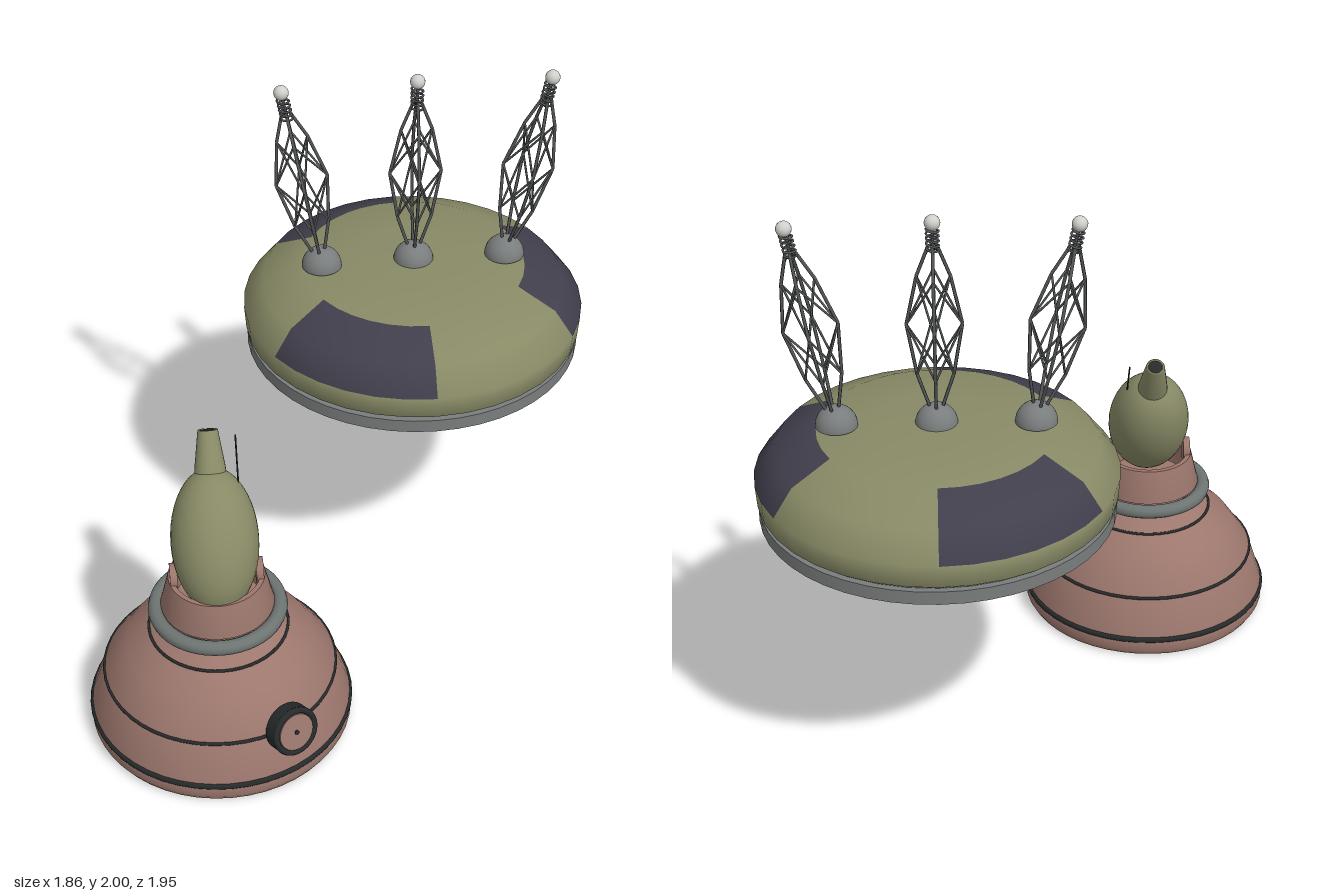
import * as THREE from 'three';
import { mergeGeometries } from 'three/addons/utils/BufferGeometryUtils.js';

const mat = (name, color, side = THREE.FrontSide) => {
  const m = new THREE.MeshStandardMaterial({ color, side });
  m.name = name;
  return m;
};
const V = (x, y, z) => new THREE.Vector3(x, y, z);

export function createModel() {
  const clay = mat('clay', 0x9c776d, THREE.DoubleSide);
  const olive = mat('olive', 0x888a66);
  const navy = mat('navy', 0x413f4c);
  const grey = mat('grey', 0x7a7d7d);
  const steel = mat('steel', 0x6d7573);
  const wire = mat('wire', 0x555859);
  const pearl = mat('pearl', 0xd0d0cc);
  const black = mat('black', 0x262a2a);

  const add = (parent, name, geo, material, x = 0, y = 0, z = 0) => {
    const m = new THREE.Mesh(geo, material);
    m.name = name;
    m.position.set(x, y, z);
    parent.add(m);
    return m;
  };
  const group = (parent, name, x, y, z) => {
    const g = new THREE.Group();
    g.name = name;
    g.position.set(x, y, z);
    parent.add(g);
    return g;
  };
  const lathe = (pts, seg = 48) =>
    new THREE.LatheGeometry(pts.map(p => new THREE.Vector2(p[0], p[1])), seg);
  const ring = (parent, name, r, tube, y, material) => {
    const m = add(parent, name, new THREE.TorusGeometry(r, tube, 10, 48), material, 0, y, 0);
    m.rotation.x = Math.PI / 2;
    return m;
  };
  const rod = (a, b, r) => new THREE.TubeGeometry(new THREE.LineCurve3(a, b), 1, r, 5);

  const model = new THREE.Group();
  model.name = 'model';

  // ---- Floating disc ----
  const disc = group(model, 'disc', 0.317, 0, -0.367);
  add(disc, 'discBase', new THREE.CylinderGeometry(0.598, 0.598, 0.047, 48), grey, 0, 0.9665, 0);
  const profile = [[0.57, 0.985], [0.602, 1.01], [0.608, 1.09], [0.538, 1.18],
    [0.397, 1.245], [0.2, 1.26], [0, 1.265]];
  const shell = lathe(profile, 36);
  // three 60 degree sectors of the two sloping bands are navy
  const bands = profile.length - 1;
  for (let i = 0; i < 36; i++) {
    for (let j = 0; j < bands; j++) {
      const dark = Math.floor(i / 6) % 2 === 1 && (j === 2 || j === 3);
      shell.addGroup((i * bands + j) * 6, 6, dark ? 1 : 0);
    }
  }
  add(disc, 'discShell', shell, [olive, navy]);

  // ---- Lattice masts: four bent rods, crossed braces, spring and ball ----
  const levels = [[0.03, 0.012], [0.18, 0.06], [0.36, 0.09], [0.53, 0.054], [0.64, 0.012]];
  const corner = (k, i) => {
    const a = k * Math.PI / 2;
    return V(Math.cos(a) * levels[i][1], levels[i][0], Math.sin(a) * levels[i][1]);
  };
  const parts = [];
  for (let k = 0; k < 4; k++) {
    for (let i = 0; i < levels.length - 1; i++) {
      parts.push(rod(corner(k, i), corner(k, i + 1), 0.006));
      if (i === 0 || i === 3) continue;
      parts.push(rod(corner(k, i), corner(k + 1, i + 1), 0.004));
      parts.push(rod(corner(k + 1, i), corner(k, i + 1), 0.004));
    }
  }
  parts.push(rod(V(0, 0.6, 0), V(0, 0.71, 0), 0.006));
  const lattice = mergeGeometries(parts);
  const coil = [];
  for (let i = 0; i <= 60; i++) {
    const a = i / 12 * Math.PI * 2;
    coil.push(V(Math.cos(a) * 0.02, 0.61 + i * 0.0014, Math.sin(a) * 0.02));
  }
  const spring = new THREE.TubeGeometry(new THREE.CatmullRomCurve3(coil), 90, 0.004, 5);
  for (const s of [-1, 0, 1]) {
    const socket = add(disc, 'mastSocket', new THREE.SphereGeometry(0.071, 24, 12, 0, Math.PI * 2, 0, Math.PI / 2),
      grey, s * 0.328, 1.257, 0);
    socket.name = ['rightSocket', 'middleSocket', 'leftSocket'][s + 1];
    const mast = group(disc, ['rightMast', 'middleMast', 'leftMast'][s + 1], s * 0.328, 1.26, 0);
    mast.rotation.z = -s * 0.19;
    add(mast, 'lattice', lattice, wire);
    add(mast, 'spring', spring, wire);
    add(mast, 'ball', new THREE.SphereGeometry(0.026, 16, 12), pearl, 0, 0.714, 0);
  }

  // ---- Domed base ----
  const base = group(model, 'base', -0.47, 0, 0.515);
  add(base, 'dome', lathe([[0.445, 0], [0.457, 0.02], [0.457, 0.065], [0.405, 0.22],
    [0.325, 0.333], [0.24, 0.4], [0.182, 0.437]]), clay);
  add(base, 'underside', new THREE.CircleGeometry(0.445, 48), clay).rotation.x = Math.PI / 2;
  ring(base, 'lowerBand', 0.45, 0.012, 0.067, black);
  ring(base, 'middleSeam', 0.403, 0.006, 0.22, black);
  ring(base, 'upperSeam', 0.24, 0.005, 0.4, black);
  add(base, 'neck', new THREE.CylinderGeometry(0.182, 0.182, 0.08, 48), clay, 0, 0.47, 0);
  ring(base, 'collarRing', 0.214, 0.026, 0.482, steel);
  add(base, 'collar', lathe([[0.18, 0.503], [0.195, 0.503], [0.165, 0.625]]), clay);
  add(base, 'collarLip', new THREE.RingGeometry(0.148, 0.165, 48), clay, 0, 0.625, 0).rotation.x = -Math.PI / 2;
  add(base, 'collarInside', new THREE.CylinderGeometry(0.148, 0.148, 0.12, 48, 1, true), clay, 0, 0.565, 0);

  // trunnion caps either side of the turret
  for (const s of [-1, 1]) {
    const cap = add(base, s < 0 ? 'rightPivot' : 'leftPivot',
      new THREE.CylinderGeometry(0.046, 0.046, 0.025, 24), clay, s * 0.146, 0.627, 0);
    cap.rotation.z = Math.PI / 2;
  }

  // hatch on the front left of the dome
  const hatchTurn = group(base, 'hatchMount', 0, 0.232, 0);
  hatchTurn.rotation.y = Math.PI / 6;
  const hatch = group(hatchTurn, 'hatch', 0, 0, 0.425);
  hatch.rotation.x = Math.PI / 2 - 0.25;
  add(hatch, 'hatchRim', new THREE.CylinderGeometry(0.086, 0.086, 0.05, 28), black);
  ring(hatch, 'hatchEdge', 0.077, 0.011, 0.025, black);
  add(hatch, 'hatchPlate', new THREE.CylinderGeometry(0.066, 0.066, 0.008, 28), clay, 0, 0.029, 0);
  add(hatch, 'hatchKnob', new THREE.CylinderGeometry(0.008, 0.008, 0.006, 10), black, 0, 0.035, 0);

  // ---- Turret, tilted back ----
  const turret = group(base, 'turret', 0, 0.762, -0.015);
  turret.rotation.x = -Math.PI / 6;
  add(turret, 'turretBody', new THREE.SphereGeometry(1, 36, 24), olive).scale.set(0.149, 0.249, 0.149);
  add(turret, 'nozzle', lathe([[0.058, 0.18], [0.052, 0.25], [0.034, 0.375], [0.026, 0.375]], 24), olive);
  add(turret, 'nozzleMouth', new THREE.CircleGeometry(0.027, 24), black, 0, 0.374, 0).rotation.x = -Math.PI / 2;
  add(turret, 'whip', rod(V(0.09, 0.13, 0.018), V(0.09, 0.355, 0.018), 0.003), black);

  return model;
}
